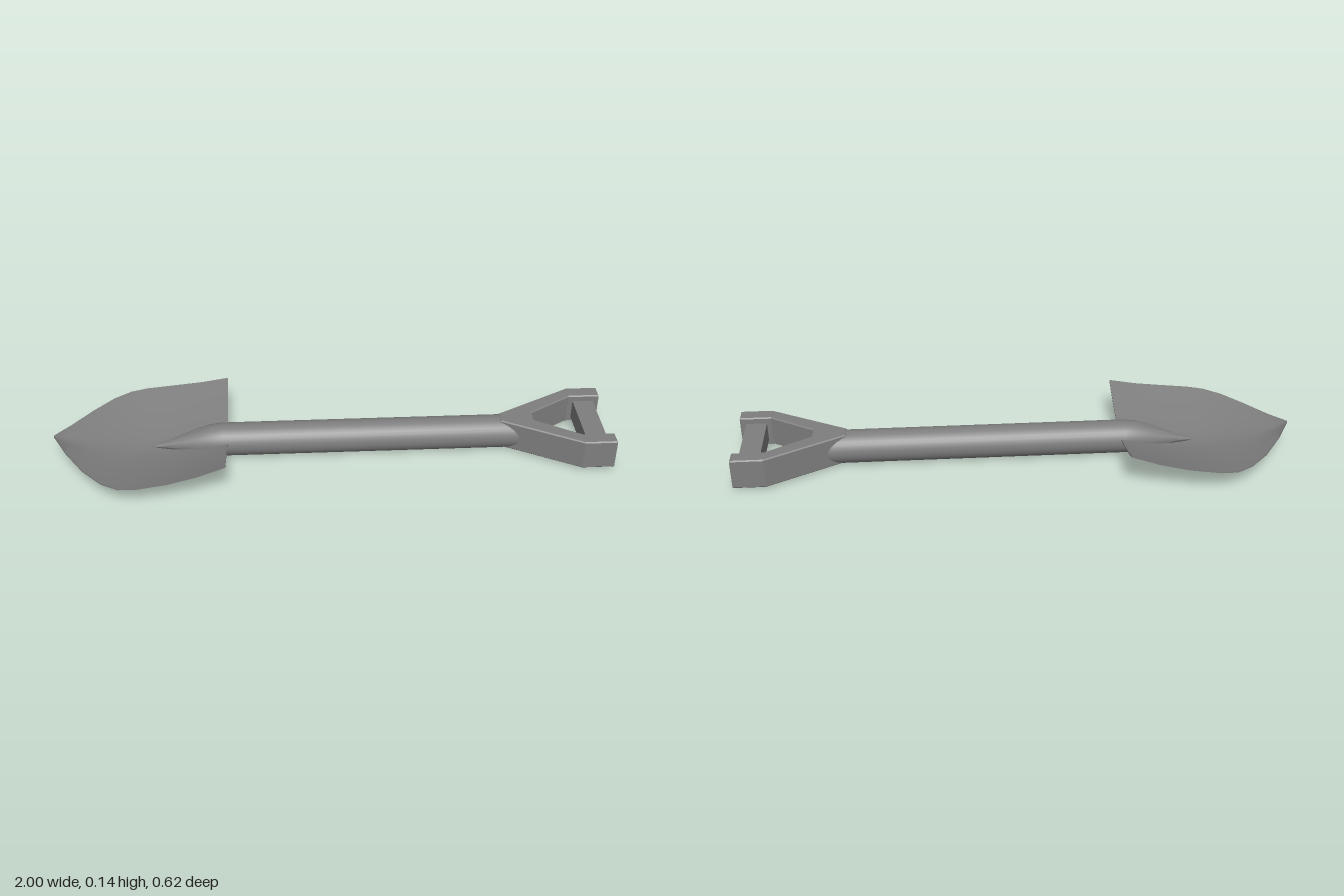
import * as THREE from 'three';
import { toCreasedNormals } from 'three/addons/utils/BufferGeometryUtils.js';

const material = new THREE.MeshStandardMaterial({ color: 0x7e7e7e });

// Blade stations from tip to rear: x, half width, centre height, edge height
const BLADE = [
  [-1, 0.002, 0.092, 0.094],
  [-0.95, 0.085, 0.067, 0.079],
  [-0.88, 0.185, 0.048, 0.073],
  [-0.81, 0.26, 0.034, 0.074],
  [-0.75, 0.298, 0.026, 0.077],
  [-0.69, 0.308, 0.022, 0.083],
  [-0.58, 0.304, 0.028, 0.097],
  [-0.48, 0.292, 0.045, 0.115],
  [-0.38, 0.277, 0.067, 0.141],
];

function makeMesh(name, geometry) {
  const mesh = new THREE.Mesh(geometry, material);
  mesh.name = name;
  return mesh;
}

// Thin dished blade: a subdivided slab bent over the stations
function bladeGeometry() {
  const last = BLADE.length - 1;
  const geo = new THREE.BoxGeometry(1, 1, 1, last, 1, 12);
  const pos = geo.attributes.position;
  for (let i = 0; i < pos.count; i++) {
    const [x, half, centre, edge] = BLADE[Math.round((pos.getX(i) + 0.5) * last)];
    const t = pos.getZ(i) * 2;
    const y = centre + (edge - centre) * Math.pow(Math.abs(t), 1.4);
    pos.setXYZ(i, x, y + pos.getY(i) * 0.005, t * half);
  }
  return toCreasedNormals(geo, 0.7);
}

// Round shaft, tapering to a point that rises into the blade
function shaftGeometry() {
  const profile = [
    [0, -0.655], [0.008, -0.63], [0.017, -0.59], [0.032, -0.545],
    [0.047, -0.49], [0.057, -0.44], [0.06, -0.4], [0.06, 0.7], [0.057, 0.72], [0, 0.72],
  ].map(([r, x]) => new THREE.Vector2(r, x));
  const geo = new THREE.LatheGeometry(profile, 32);
  geo.rotateZ(-Math.PI / 2);
  const pos = geo.attributes.position;
  for (let i = 0; i < pos.count; i++) {
    const k = Math.max(0, (-0.42 - pos.getX(i)) / 0.235);
    pos.setY(i, pos.getY(i) + 0.06 - 0.024 * k);
  }
  return toCreasedNormals(geo, 0.7);
}

// Forked yoke, extruded upward from its plan outline
function forkGeometry() {
  const half = [[0.61, 0.022], [0.67, 0.054], [0.885, 0.17], [0.995, 0.17],
    [0.995, 0.123], [0.885, 0.123], [0.725, 0.026]];
  const outline = [...half, ...half.map(([x, z]) => [x, -z]).reverse()];
  const shape = new THREE.Shape(outline.map(([x, z]) => new THREE.Vector2(x, z)));
  const bevel = 0.004;
  const geo = new THREE.ExtrudeGeometry(shape, {
    depth: 0.112 - bevel * 2, bevelEnabled: true,
    bevelThickness: bevel, bevelSize: bevel, bevelSegments: 1,
  });
  geo.rotateX(-Math.PI / 2);
  geo.translate(0, 0.009 + bevel, 0);
  return geo;
}

export function createModel() {
  const model = new THREE.Group();
  model.name = 'shovel';
  model.add(makeMesh('blade', bladeGeometry()));
  model.add(makeMesh('shaft', shaftGeometry()));
  model.add(makeMesh('handleFork', forkGeometry()));

  // Crossbar held between the fork arms
  const grip = makeMesh('handleGrip', new THREE.BoxGeometry(0.075, 0.07, 0.26));
  grip.position.set(0.94, 0.063, 0);
  model.add(grip);

  return model;
}
